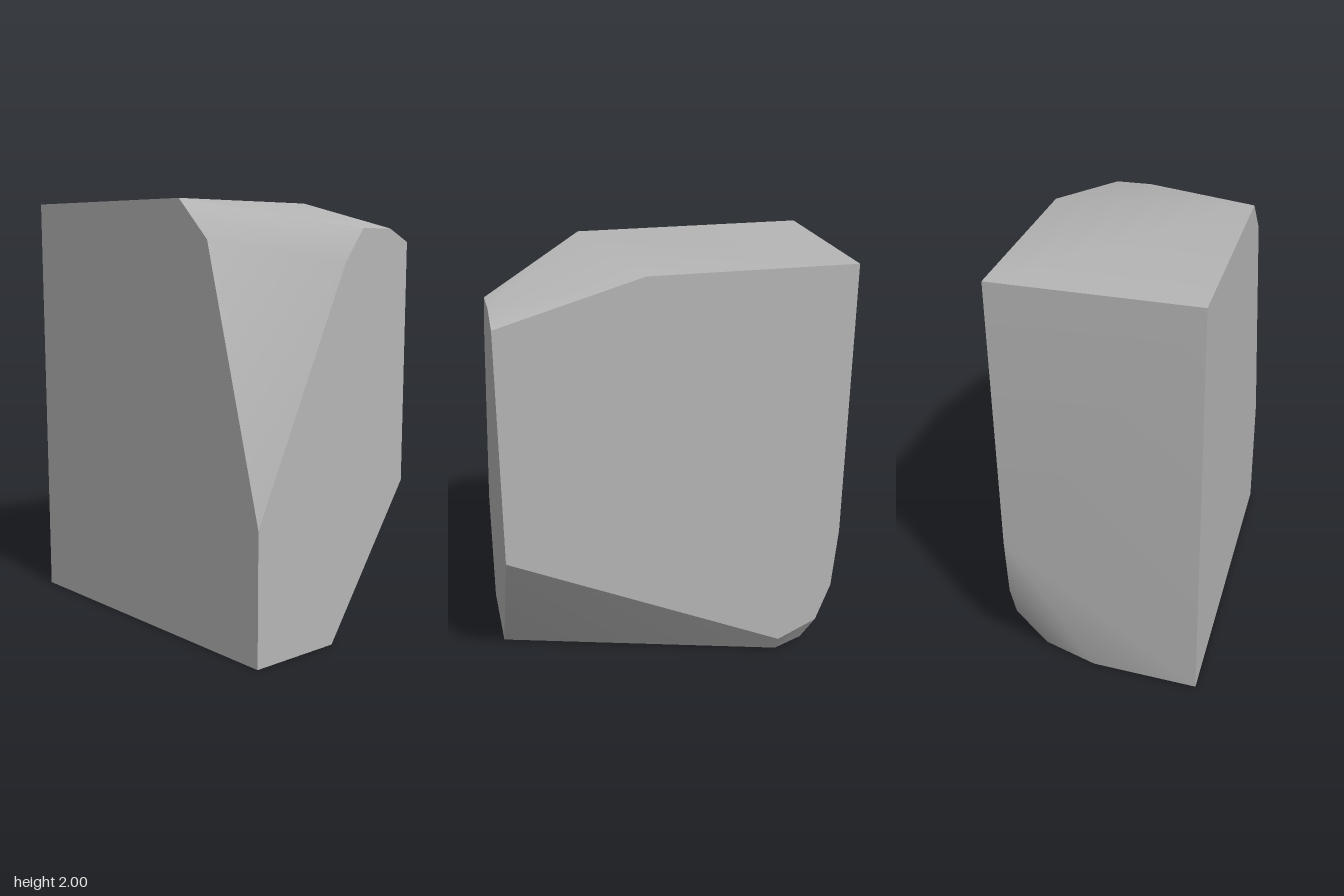
import * as THREE from 'three';
import { ConvexGeometry } from 'three/addons/geometries/ConvexGeometry.js';
import { toCreasedNormals } from 'three/addons/utils/BufferGeometryUtils.js';

const HALF_DEPTH = 0.46;
const RIGHT = 0.82;

// Corner outlines of the cut block, one per flat side
const frontOutline = [ // x, y
  [-0.82, 2], [0.3, 2], [0.49, 1.82], [RIGHT, 0.61], [RIGHT, 0], [-0.8, 0],
];
const backOutline = [ // x, y
  [-0.8, 2], [0.16, 2], [RIGHT, 1.81], [RIGHT, 0.7],
  [-0.51, 0.1], [-0.7, 0.19], [-0.77, 0.38], [-0.795, 0.68],
];
const sideOutline = [ // z, y : chipped upper corner of the +x side
  [-0.05, 1.72], [-0.16, 1.87], [-0.34, 1.87], [0, 0],
];
const baseOutline = [ // x, z : worn back corner of the underside
  [-0.52, -0.39], [-0.68, -0.32], [-0.77, -0.05],
];

export function createModel() {
  const stone = new THREE.MeshStandardMaterial({ color: 0xb6b6b6 });
  stone.name = 'grey stone';

  const corners = [
    ...frontOutline.map(([x, y]) => new THREE.Vector3(x, y, HALF_DEPTH)),
    ...backOutline.map(([x, y]) => new THREE.Vector3(x, y, -HALF_DEPTH)),
    ...sideOutline.map(([z, y]) => new THREE.Vector3(RIGHT, y, z)),
    ...baseOutline.map(([x, z]) => new THREE.Vector3(x, 0, z)),
  ];

  // Solid block with softly shaded chips and sharp main edges
  const block = new THREE.Mesh(toCreasedNormals(new ConvexGeometry(corners), 0.56), stone);
  block.name = 'stoneBlock';

  const model = new THREE.Group();
  model.name = 'chippedStone';
  model.add(block);
  return model;
}
